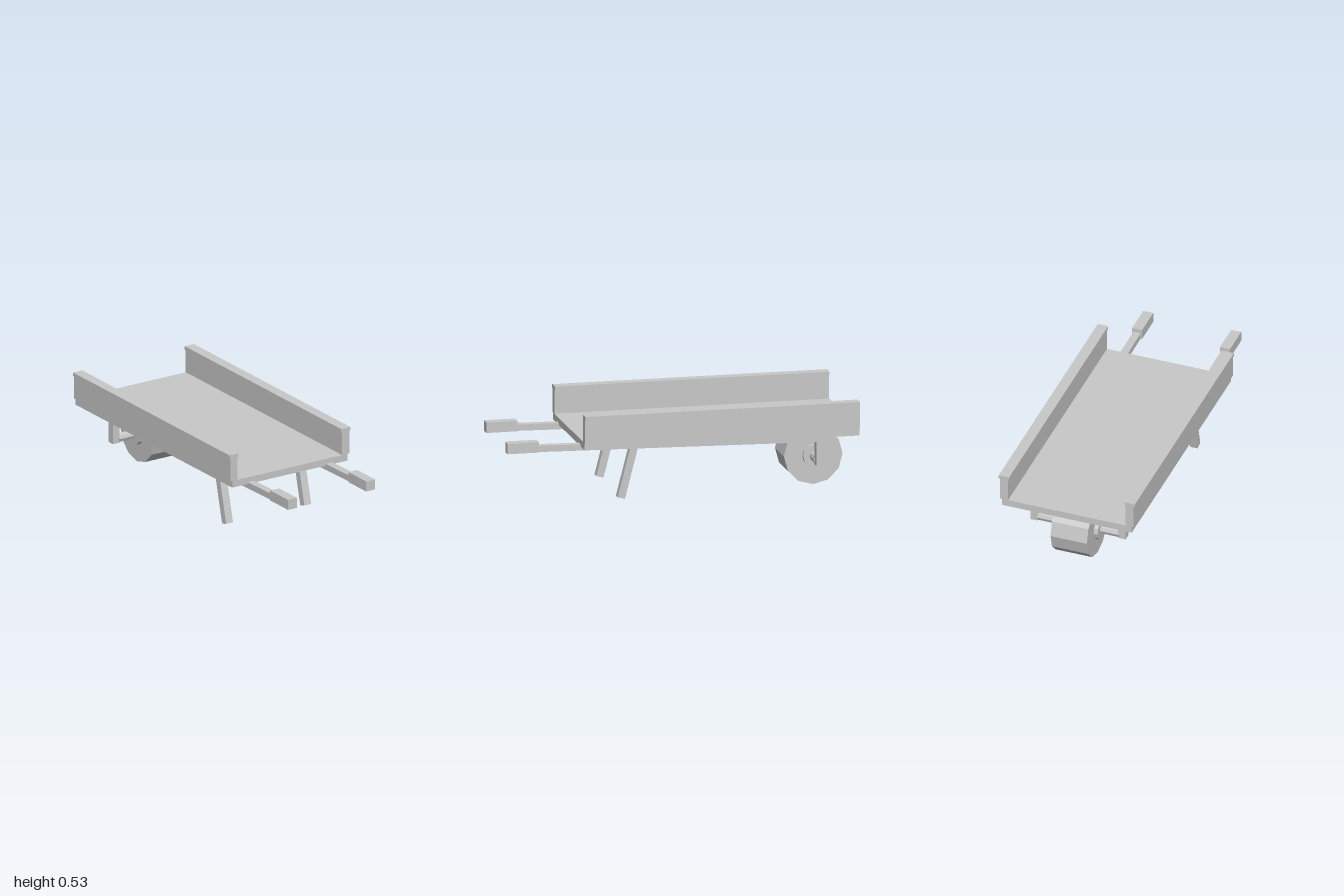
import * as THREE from 'three';

export function createModel() {
  const cart = new THREE.Group();
  cart.name = 'handCart';
  const grey = new THREE.MeshStandardMaterial({ color: 0xc8c8c8, flatShading: true });
  grey.name = 'plain grey';

  function add(name, geometry) {
    const mesh = new THREE.Mesh(geometry, grey);
    mesh.name = name;
    cart.add(mesh);
    return mesh;
  }
  // Box given by its limits on each axis
  function box(name, x0, x1, y0, y1, z0, z1) {
    add(name, new THREE.BoxGeometry(x1 - x0, y1 - y0, z1 - z0))
      .position.set((x0 + x1) / 2, (y0 + y1) / 2, (z0 + z1) / 2);
  }
  // Slanted square bar between two points of the side plane
  function beam(name, x, [y0, z0], [y1, z1], width, thickness) {
    const bar = add(name, new THREE.BoxGeometry(width, thickness, Math.hypot(y1 - y0, z1 - z0)));
    bar.position.set(x, (y0 + y1) / 2, (z0 + z1) / 2);
    bar.rotation.x = -Math.atan2(y1 - y0, z1 - z0);
  }
  // Cylinder lying along x at the wheel centre, with a corner at the bottom
  function roller(name, radius, length, sides) {
    const geometry = new THREE.CylinderGeometry(radius, radius, length, sides);
    geometry.rotateX(Math.PI / 2).rotateY(Math.PI / 2);
    if (sides % 4) geometry.rotateX(Math.PI / sides);
    add(name, geometry).position.set(0, 0.17, -0.8);
  }

  // Load bed
  box('bed', -0.388, 0.388, 0.335, 0.375, -1, 0.58);

  for (const [side, s] of [['left', 1], ['right', -1]]) {
    const span = (a, b) => (s > 0 ? [a, b] : [-b, -a]);
    // Side wall with a wider cap rail
    box(side + 'Wall', ...span(0.352, 0.4), 0.375, 0.512, -1, 0.58);
    box(side + 'WallCap', ...span(0.345, 0.407), 0.512, 0.532, -1, 0.58);
    // Long rail and hand grip
    beam(side + 'Rail', s * 0.263, [0.302, -0.866], [0.333, 0.83], 0.044, 0.036);
    box(side + 'Grip', ...span(0.233, 0.293), 0.314, 0.374, 0.82, 1);
    // Slanted leg and wheel hanger
    beam(side + 'Leg', s * 0.263, [0.328, 0.267], [0.024, 0.345], 0.046, 0.043);
    box(side + 'WheelHanger', ...span(0.24, 0.285), 0.147, 0.335, -0.822, -0.778);
  }

  // Wheel, hub and axle
  roller('wheel', 0.169, 0.218, 12);
  roller('hub', 0.063, 0.266, 12);
  roller('axle', 0.027, 0.49, 8);

  // Rest the wheel on the ground
  cart.children.forEach((part) => { part.position.y -= 0.001; });
  return cart;
}
